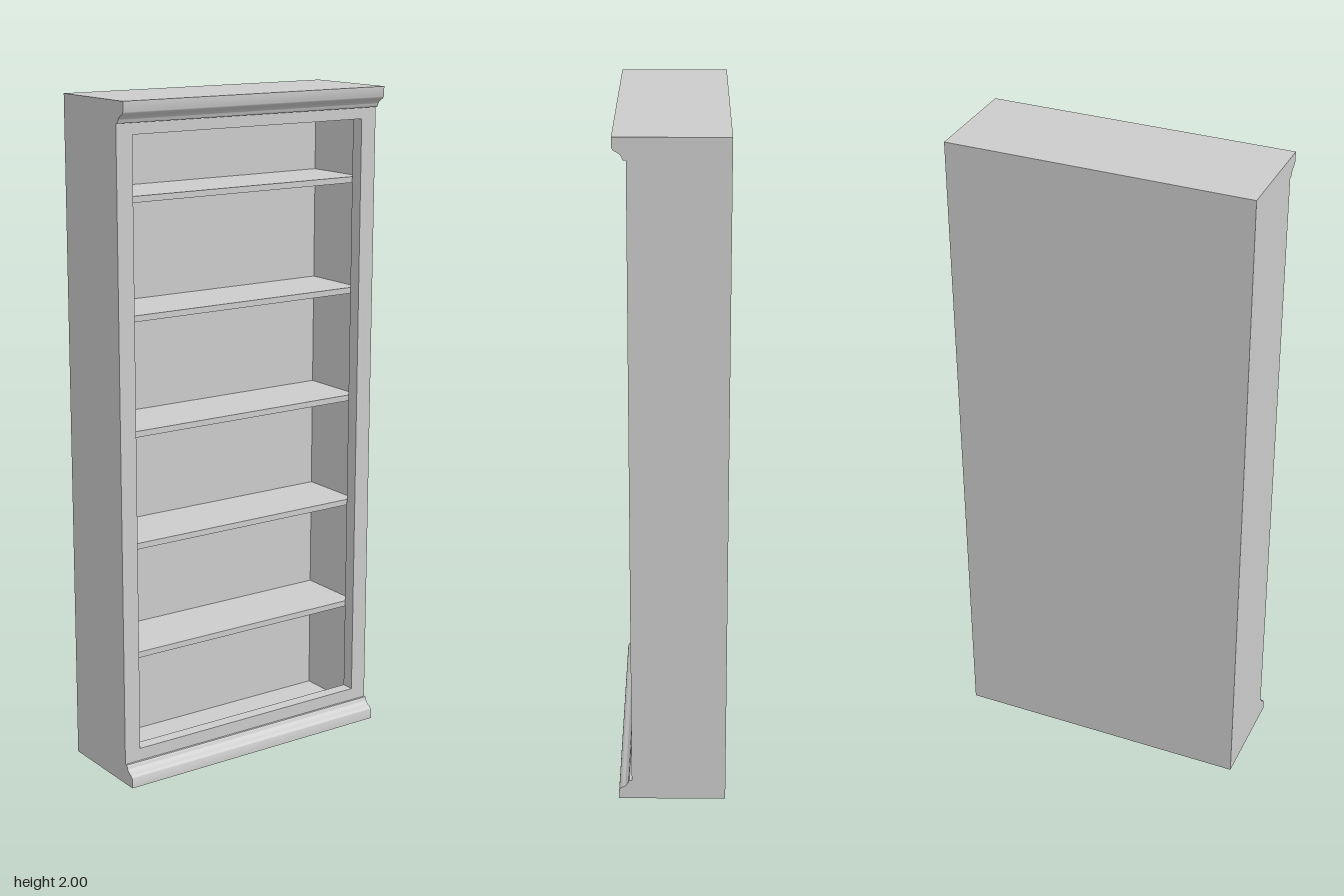
import * as THREE from 'three';
import { toCreasedNormals } from 'three/addons/utils/BufferGeometryUtils.js';

const W = 0.9, H = 2, BACK = -0.158, FACE = 0.12, FRONT = 0.158;
const SIDE = 0.022, OPEN_X = 0.398, OPEN_BOTTOM = 0.1, OPEN_TOP = 1.905, TRIM = 0.062;
const RAIL_BACK = 0.08, PANEL_FRONT = -0.143;

export function createModel() {
  const group = new THREE.Group();
  const material = new THREE.MeshStandardMaterial({ color: 0xcccccc });

  const add = (name, geometry) => {
    const mesh = new THREE.Mesh(geometry, material);
    mesh.name = name;
    group.add(mesh);
    return mesh;
  };
  // Box given by its lower and upper limits on each axis
  const box = (name, x0, x1, y0, y1, z0, z1) =>
    add(name, new THREE.BoxGeometry(x1 - x0, y1 - y0, z1 - z0))
      .position.set((x0 + x1) / 2, (y0 + y1) / 2, (z0 + z1) / 2);

  // Carcass
  const inner = W / 2 - SIDE;
  box('leftSide', inner, W / 2, 0, H, BACK, FACE);
  box('rightSide', -W / 2, -inner, 0, H, BACK, FACE);
  box('backPanel', -inner, inner, 0, H, BACK, PANEL_FRONT);
  box('topPanel', -inner, inner, H - 0.03, H, PANEL_FRONT, FACE);
  box('bottomPanel', -inner, inner, 0, 0.03, PANEL_FRONT, FACE);

  // Face frame between the sides
  box('leftStile', OPEN_X, inner, 0.03, H - 0.03, RAIL_BACK, FACE);
  box('rightStile', -inner, -OPEN_X, 0.03, H - 0.03, RAIL_BACK, FACE);
  box('topRail', -OPEN_X, OPEN_X, OPEN_TOP, H - 0.03, RAIL_BACK, FACE);
  box('bottomRail', -OPEN_X, OPEN_X, 0.03, OPEN_BOTTOM, RAIL_BACK, FACE);

  // Five evenly spaced shelves
  for (let i = 0; i < 5; i++) {
    const y = 0.366 + i * 0.3365;
    box('shelf' + (i + 1), -inner, inner, y, y + 0.018, PANEL_FRONT, 0.076);
  }

  // Ogee moulding across the front; the crown mirrors the base
  const moulding = (name, mirrored) => {
    const y = (v) => (mirrored ? H - v : v);
    const shape = new THREE.Shape();
    shape.moveTo(FACE, y(0));
    shape.lineTo(FRONT, y(0));
    shape.lineTo(FRONT, y(0.024));
    shape.bezierCurveTo(FRONT, y(0.036), 0.147, y(0.038), 0.141, y(0.042));
    shape.bezierCurveTo(0.134, y(0.047), 0.131, y(0.052), 0.13, y(TRIM - 0.004));
    shape.lineTo(0.127, y(TRIM));
    shape.lineTo(FACE, y(TRIM));
    const geometry = new THREE.ExtrudeGeometry(shape, { depth: W, bevelEnabled: false, curveSegments: 6 });
    geometry.translate(0, 0, -W / 2).rotateY(-Math.PI / 2);
    add(name, toCreasedNormals(geometry, 0.6));
  };
  moulding('baseMoulding', false);
  moulding('crownMoulding', true);

  return group;
}
